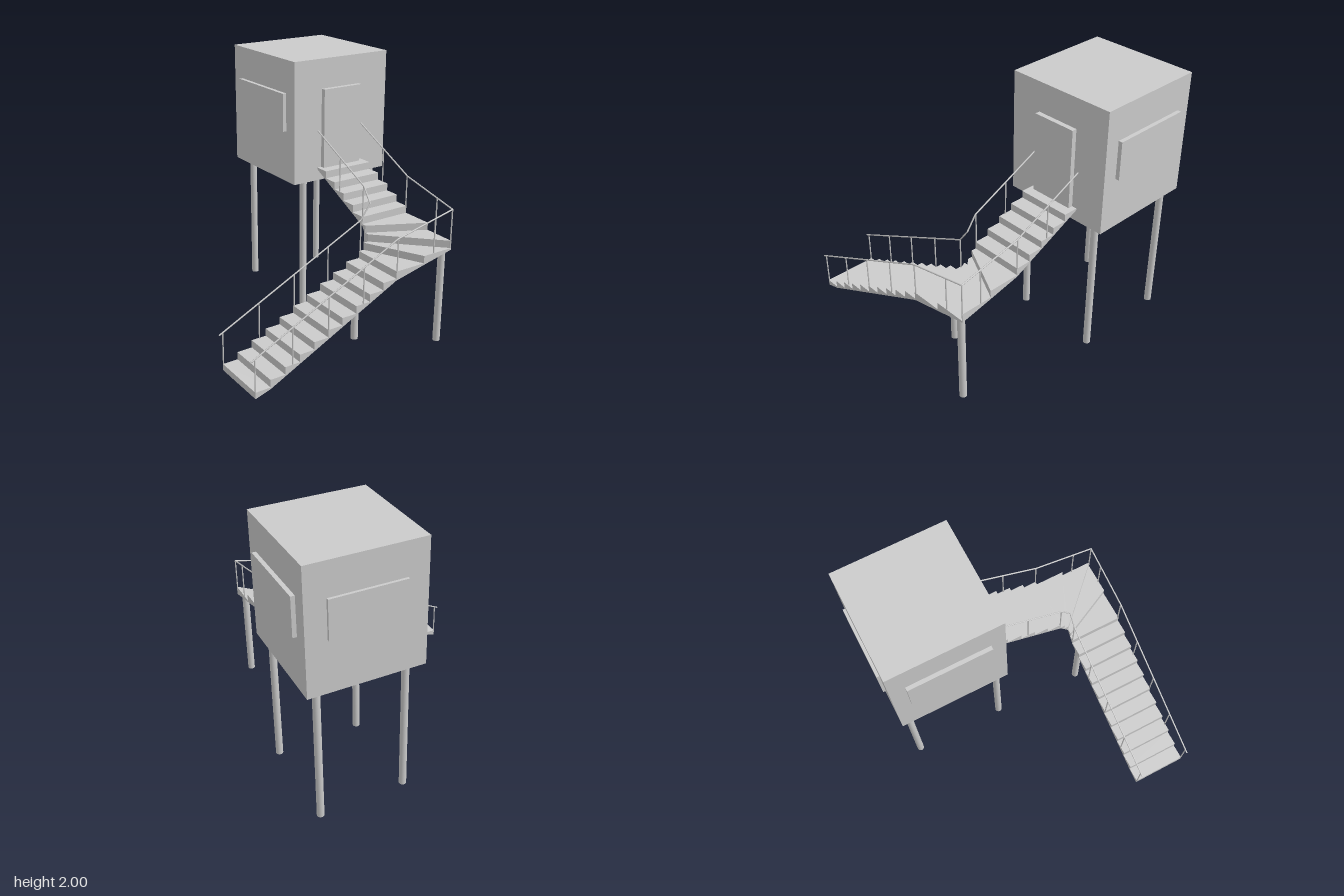
import * as THREE from 'three';

const V = (x, y, z) => new THREE.Vector3(x, y, z);
const grey = new THREE.MeshStandardMaterial({ color: 0xcccccc });
const greyFlat = new THREE.MeshStandardMaterial({ color: 0xcccccc, flatShading: true });

// Box given by its min and max corners
function box(name, x0, x1, y0, y1, z0, z1) {
  const mesh = new THREE.Mesh(new THREE.BoxGeometry(x1 - x0, y1 - y0, z1 - z0), grey);
  mesh.position.set((x0 + x1) / 2, (y0 + y1) / 2, (z0 + z1) / 2);
  mesh.name = name;
  return mesh;
}

// Round bar between two points
function bar(name, a, b, radius, sides) {
  const mesh = new THREE.Mesh(new THREE.CylinderGeometry(radius, radius, a.distanceTo(b), sides), grey);
  mesh.position.copy(a).lerp(b, 0.5);
  mesh.quaternion.setFromUnitVectors(V(0, 1, 0), b.clone().sub(a).normalize());
  mesh.name = name;
  return mesh;
}

// One step between two riser lines [inner x, inner z, outer x, outer z]
function step(l0, l1, top, bottom0, bottom1) {
  const corners = (l, y) => [V(l[0], y, l[1]), V(l[2], y, l[3])];
  const [tI0, tO0] = corners(l0, top), [tI1, tO1] = corners(l1, top);
  const [bI0, bO0] = corners(l0, bottom0), [bI1, bO1] = corners(l1, bottom1);
  const quads = [
    [tI0, tO0, tO1, tI1], [bI0, bI1, bO1, bO0],
    [bI0, bO0, tO0, tI0], [bI1, tI1, tO1, bO1],
    [bI0, tI0, tI1, bI1], [bO0, bO1, tO1, tO0],
  ];
  const points = quads.flatMap(([a, b, c, d]) => [a, b, c, a, c, d]);
  const geometry = new THREE.BufferGeometry().setFromPoints(points);
  geometry.computeVertexNormals();
  const mesh = new THREE.Mesh(geometry, greyFlat);
  mesh.name = 'step';
  return mesh;
}

function createStairs() {
  const stairs = new THREE.Group();
  stairs.name = 'stairs';
  const zIn = 0.545, zOut = 0.965, xIn = 0.285, xOut = 0.7;

  // Riser lines: lower flight, winders around the corner, upper flight
  const lines = [];
  for (let i = 0; i <= 10; i++) lines.push([-0.93 + i * 0.1135, zIn, -0.93 + i * 0.1135, zOut]);
  lines.push([0.245, zIn, 0.45, zOut], [xIn, zIn, xOut, zOut], [xIn, 0.51, xOut, 0.715]);
  for (let i = 0; i <= 5; i++) lines.push([xIn, 0.473 - i * 0.1137, xOut, 0.473 - i * 0.1137]);

  const rise = 0.0553, skin = 0.013;
  for (let k = 0; k < lines.length - 1; k++) {
    const top = 0.172 + k * rise;
    const bottom = k === 0 ? 0.125 : top - rise - skin;
    stairs.add(step(lines[k], lines[k + 1], top, bottom, top - skin));
  }
  return stairs;
}

// Handrail along a path, with posts [x, z, foot y, top y]
function createRailing(name, path, posts) {
  const railing = new THREE.Group();
  railing.name = name;
  for (let i = 0; i < path.length - 1; i++) railing.add(bar('handrail', path[i], path[i + 1], 0.0055, 8));
  for (const p of path.slice(1, -1)) {
    const joint = new THREE.Mesh(new THREE.SphereGeometry(0.0055, 8, 6), grey);
    joint.position.copy(p);
    joint.name = 'handrailJoint';
    railing.add(joint);
  }
  for (const [x, z, y0, y1] of posts) railing.add(bar('railPost', V(x, y0, z), V(x, y1, z), 0.005, 8));
  return railing;
}

export function createModel() {
  const model = new THREE.Group();
  model.name = 'raisedCabin';

  // Cabin with door and windows
  const cabin = new THREE.Group();
  cabin.name = 'cabin';
  cabin.add(
    box('cabinBody', 0.075, 0.925, 1.065, 2, -0.95, -0.095),
    box('door', 0.32, 0.66, 1.165, 1.775, -0.11, -0.058),
    box('leftWindow', 0.91, 0.955, 1.46, 1.75, -0.835, -0.21),
    box('rightWindow', 0.045, 0.09, 1.46, 1.75, -0.835, -0.205),
    box('backWindow', 0.225, 0.775, 1.46, 1.75, -0.97, -0.93),
  );
  model.add(cabin);

  // Legs under the cabin and the stairs: x, z, foot y, top y
  const legs = [
    [0.19, -0.145, 0.025, 1.07], [0.19, -0.88, 0.025, 1.07],
    [0.835, -0.145, 0, 1.07], [0.835, -0.88, 0, 1.07],
    [0.645, 0.93, 0.05, 0.77], [0.155, 0.58, 0.05, 0.645],
  ];
  for (const [x, z, y0, y1] of legs) model.add(bar('leg', V(x, y0, z), V(x, y1, z), 0.027, 20));

  model.add(createStairs());

  // Railings on both sides of the stairs
  const zi = 0.55, zo = 0.96, xi = 0.29, xo = 0.696;
  const lowerPosts = (z) => [0, 1, 2, 3, 4].map((i) => {
    const x = -0.928 + i * 0.285;
    return [x, z, 0.17 + Math.floor(i * 2.5) * 0.0553, 0.408 + i * 0.139];
  });
  const upperPosts = (x) => [[x, 0.47, 0.88, 1.178], [x, 0.19, 1.04, 1.315]];
  model.add(createRailing('outerRailing',
    [V(-0.955, 0.398, zo), V(0.21, 0.963, zo), V(xo, 1.072, zo), V(xo, 1.18, 0.475), V(xo, 1.455, -0.095)],
    [...lowerPosts(zo), [0.54, zo, 0.775, 1.035], [xo, zo, 0.77, 1.072], [xo, 0.8, 0.83, 1.105], ...upperPosts(xo)]));
  model.add(createRailing('innerRailing',
    [V(-0.955, 0.398, zi), V(0.21, 0.963, zi), V(xi, 1.072, zi), V(xi, 1.18, 0.475), V(xi, 1.455, -0.095)],
    [...lowerPosts(zi), ...upperPosts(xi)]));

  return model;
}
